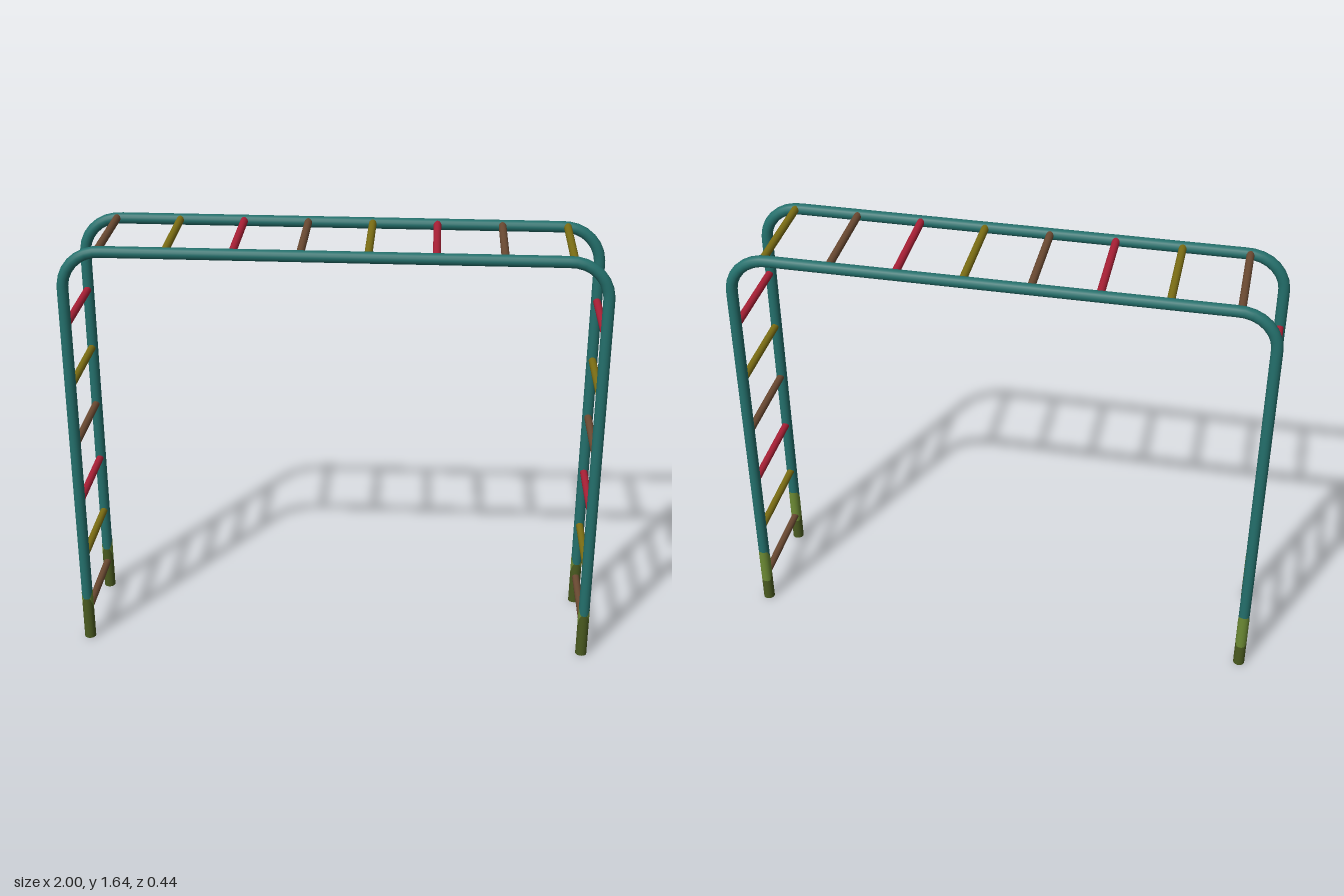
import * as THREE from 'three';

const mat = (name, color, side = THREE.FrontSide) => {
  const m = new THREE.MeshStandardMaterial({ color, side });
  m.name = name;
  return m;
};

const X = 0.979, Z = 0.199, TOP = 1.621, BEND = 0.14, R = 0.0212;

// One bent pipe: up a leg, along the top and down the other leg
function pipeGeometry() {
  const v = (x, y) => new THREE.Vector3(x, y, 0);
  const k = BEND * 0.4477, path = new THREE.CurvePath();
  path.add(new THREE.LineCurve3(v(-X, 0), v(-X, TOP - BEND)));
  path.add(new THREE.CubicBezierCurve3(v(-X, TOP - BEND), v(-X, TOP - k), v(-X + k, TOP), v(-X + BEND, TOP)));
  path.add(new THREE.LineCurve3(v(-X + BEND, TOP), v(X - BEND, TOP)));
  path.add(new THREE.CubicBezierCurve3(v(X - BEND, TOP), v(X - k, TOP), v(X, TOP - k), v(X, TOP - BEND)));
  path.add(new THREE.LineCurve3(v(X, TOP - BEND), v(X, 0)));
  return new THREE.TubeGeometry(path, 160, R, 16, false);
}

// Thin sleeve around a leg whose lower and upper edges vary with the angle from the front
function sleeveGeometry(lower, upper) {
  const g = new THREE.CylinderGeometry(R + 0.0008, R + 0.0008, 1, 24, 1, true);
  const p = g.attributes.position;
  for (let i = 0; i < p.count; i++) {
    const back = Math.abs(Math.atan2(p.getX(i), p.getZ(i))) / Math.PI;
    p.setY(i, p.getY(i) > 0 ? upper(back) : lower(back));
  }
  return g;
}

export function createModel() {
  const model = new THREE.Group();
  model.name = 'climbingFrame';
  const teal = mat('teal paint', 0x24706c);
  const brown = mat('brown paint', 0x6b4a32);
  const yellow = mat('mustard paint', 0x7c6e14);
  const red = mat('red paint', 0xaa2036);
  const moss = mat('dark moss', 0x4a5a20);
  const paleMoss = mat('pale moss', 0x6c8a34);

  const add = (name, geometry, material, x, y, z) => {
    const mesh = new THREE.Mesh(geometry, material);
    mesh.name = name;
    mesh.position.set(x, y, z);
    model.add(mesh);
    return mesh;
  };

  // Side pipes
  const pipe = pipeGeometry();
  for (const z of [-Z, Z]) add('sidePipe', pipe, teal, 0, 0, z);

  // Mossy feet: dark all round, with a pale patch rising on the back
  const ramp = (b) => Math.max(0, Math.min(1, (b - 0.2) / 0.5));
  const patchLow = (b) => 0.18 - 0.085 * ramp(b);
  const patchHigh = (b) => 0.18 + 0.07 * ramp(b);
  const darkSleeve = sleeveGeometry(() => 0, patchLow);
  const paleSleeve = sleeveGeometry(patchLow, patchHigh);
  const sole = new THREE.CircleGeometry(R + 0.0008, 24);
  sole.rotateX(Math.PI / 2);
  for (const x of [-X, X]) {
    for (const z of [-Z, Z]) {
      add('mossyFoot', darkSleeve, moss, x, 0, z);
      add('mossPatch', paleSleeve, paleMoss, x, 0, z);
      add('footSole', sole, moss, x, 0, z);
    }
  }

  // Rungs repeat brown, mustard, red
  const rung = new THREE.CylinderGeometry(0.0145, 0.0145, Z * 2, 14);
  rung.rotateX(Math.PI / 2);
  const colours = [brown, yellow, red];
  for (let i = 0; i < 6; i++) {
    for (const x of [-X, X]) add('ladderRung', rung, colours[i % 3], x, 0.12 + i * 0.2426, 0);
  }
  for (let i = 0; i < 8; i++) {
    add('overheadRung', rung, colours[i % 3], -0.846 + i * 0.2424, 1.624, 0);
  }
  return model;
}
